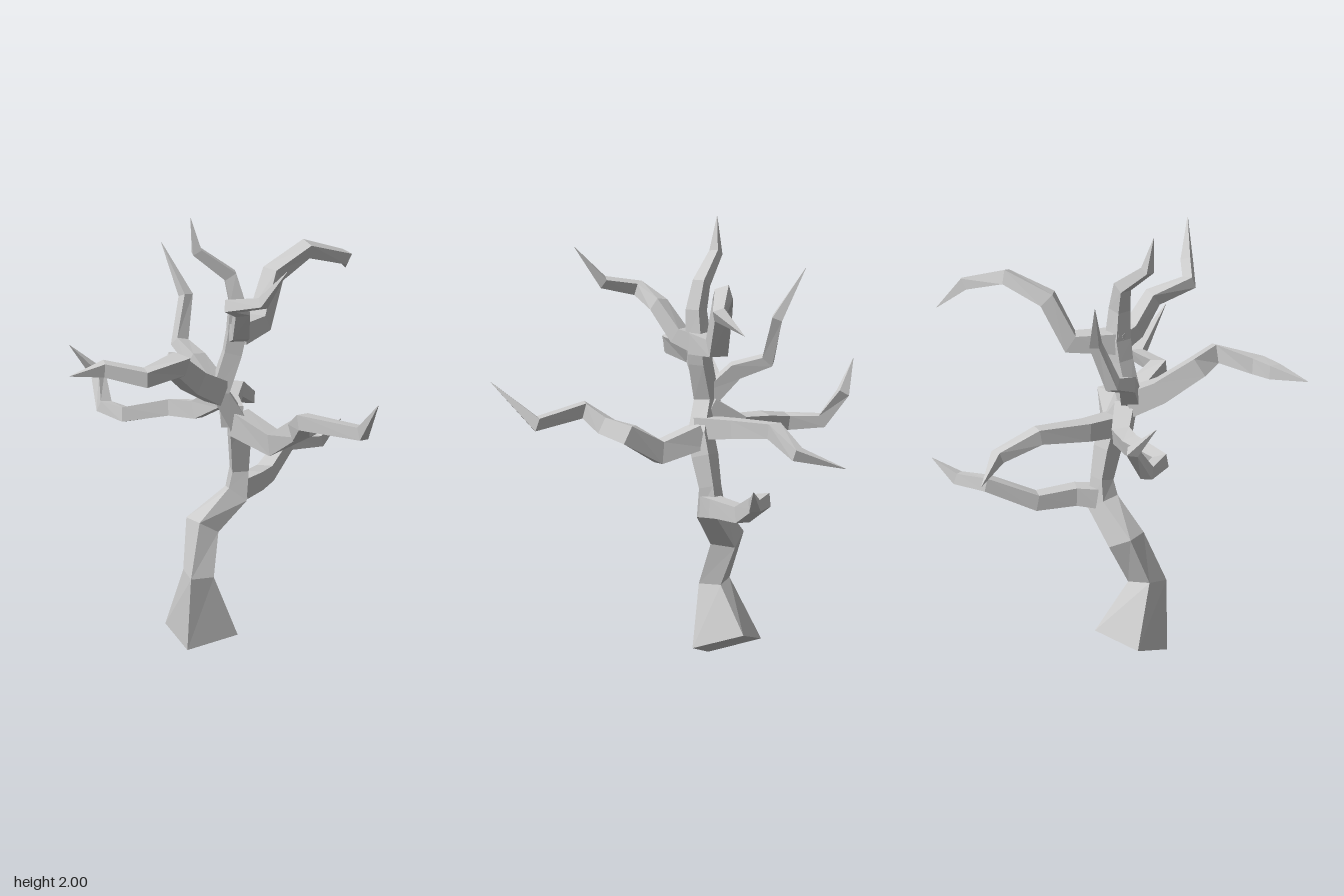
import * as THREE from 'three';

const V = (p) => new THREE.Vector3(p[0], p[1], p[2]);

// Square rings along a path of [x, y, z, width], mitred at every bend
function sweep(path, ref) {
  const pts = path.map(V);
  let n = ref.clone();
  return pts.map((p, i) => {
    const t = new THREE.Vector3();
    if (i > 0) t.add(p.clone().sub(pts[i - 1]).normalize());
    if (i < pts.length - 1) t.add(pts[i + 1].clone().sub(p).normalize());
    t.normalize();
    n = n.clone().addScaledVector(t, -n.dot(t)).normalize();
    const b = t.clone().cross(n);
    const h = path[i][3] / 2;
    return [[-1, -1], [1, -1], [1, 1], [-1, 1]].map(([u, v]) =>
      p.clone().addScaledVector(n, u * h).addScaledVector(b, v * h));
  });
}

// Closed faceted skin over four-cornered rings
function loft(rings, name, material) {
  const pos = [];
  const quad = (a, b, c, d) => [a, b, c, a, c, d].forEach((p) => pos.push(p.x, p.y, p.z));
  for (let i = 0; i < rings.length - 1; i++) {
    for (let k = 0; k < 4; k++) {
      const m = (k + 1) % 4;
      quad(rings[i][k], rings[i][m], rings[i + 1][m], rings[i + 1][k]);
    }
  }
  const s = rings[0], e = rings[rings.length - 1];
  quad(s[3], s[2], s[1], s[0]);
  quad(e[0], e[1], e[2], e[3]);
  const geo = new THREE.BufferGeometry();
  geo.setAttribute('position', new THREE.Float32BufferAttribute(pos, 3));
  geo.computeVertexNormals();
  const mesh = new THREE.Mesh(geo, material);
  mesh.name = name;
  return mesh;
}

export function createModel() {
  const group = new THREE.Group();
  group.name = 'bareTree';
  const bark = new THREE.MeshStandardMaterial({ color: 0xcccccc, flatShading: true });

  // Flared, slanted foot of the trunk
  const foot = [
    [[-0.12, 0.0, 0.08], [0.12, 0.05, 0.03], [0.06, 0.115, -0.2], [-0.18, 0.07, -0.16]],
    [[-0.105, 0.33, 0.09], [0.005, 0.33, 0.06], [0.0, 0.33, -0.05], [-0.12, 0.35, -0.03]],
    [[-0.05, 0.57, 0.0], [0.04, 0.52, -0.02], [0.03, 0.51, -0.14], [-0.09, 0.57, -0.12]],
    [[0.09, 0.72, -0.03], [0.17, 0.66, -0.02], [0.18, 0.66, -0.13], [0.09, 0.71, -0.12]],
  ].map((ring) => ring.map(V));

  // Upper trunk running into the top leader
  const stem = sweep([
    [0.145, 0.8, -0.075, 0.075], [0.14, 0.94, -0.045, 0.09], [0.13, 1.03, -0.02, 0.09],
    [0.04, 1.18, 0, 0.085], [0.1, 1.36, 0, 0.08], [0.12, 1.46, 0, 0.085],
    [0.12, 1.6, 0.01, 0.07], [0.09, 1.72, 0.0, 0.06], [-0.065, 1.84, 0.01, 0.045],
    [-0.095, 2.0, 0.02, 0.002],
  ], new THREE.Vector3(1, 0, 0));
  group.add(loft([...foot, ...stem], 'trunk', bark));

  // Branches: starting width and centre line
  const branches = {
    lowBackLeftBranch: [0.095, [[0.14, 0.71, -0.07], [0.23, 0.72, -0.16], [0.31, 0.71, -0.33],
      [0.44, 0.805, -0.51], [0.595, 0.8, -0.55], [0.705, 0.88, -0.605]]],
    frontLeftBranch: [0.11, [[0.13, 1.03, -0.02], [0.27, 0.96, 0.12], [0.4, 1.05, 0.2],
      [0.345, 1.07, 0.35], [0.345, 1.14, 0.47], [0.6, 1.1, 0.575], [0.635, 1.28, 0.79]]],
    backBranch: [0.1, [[0.1, 1.06, 0], [0.12, 1.07, -0.2], [0.19, 1.085, -0.43],
      [0.28, 1.0, -0.6], [0.18, 0.935, -0.795]]],
    frontRightBranch: [0.115, [[0.03, 1.18, 0], [-0.09, 1.25, 0.07], [-0.2, 1.36, 0.19],
      [-0.195, 1.395, 0.31], [-0.37, 1.36, 0.41], [-0.55, 1.395, 0.345], [-0.715, 1.378, 0.395]]],
    backRightBranch: [0.09, [[0.05, 1.15, -0.02], [-0.04, 1.07, -0.13], [-0.16, 1.07, -0.185],
      [-0.36, 1.045, -0.19], [-0.43, 1.05, -0.34], [-0.44, 1.18, -0.44], [-0.575, 1.32, -0.42]]],
    upperBackRightBranch: [0.085, [[0.03, 1.19, 0], [-0.05, 1.31, -0.1], [-0.1, 1.36, -0.24],
      [-0.06, 1.56, -0.31], [-0.155, 1.785, -0.405]]],
    upperBackLeftBranch: [0.1, [[0.12, 1.45, 0], [0.255, 1.455, -0.17], [0.33, 1.66, -0.24],
      [0.5, 1.745, -0.34], [0.69, 1.68, -0.42], [0.718, 1.595, -0.565]]],
    upperFrontBranch: [0.085, [[0.12, 1.45, 0], [0.12, 1.48, 0.1], [0.11, 1.61, 0.21],
      [0.03, 1.665, 0.36], [0.16, 1.7, 0.47], [0.255, 1.865, 0.565]]],
  };
  const up = new THREE.Vector3(0, 1, 0);
  for (const [name, [width, line]] of Object.entries(branches)) {
    const last = line.length - 1;
    const path = line.map((p, i) =>
      [...p, i === last ? 0.002 : width * (1 - 0.45 * i / (last - 1))]);
    group.add(loft(sweep(path, up), name, bark));
  }
  return group;
}
